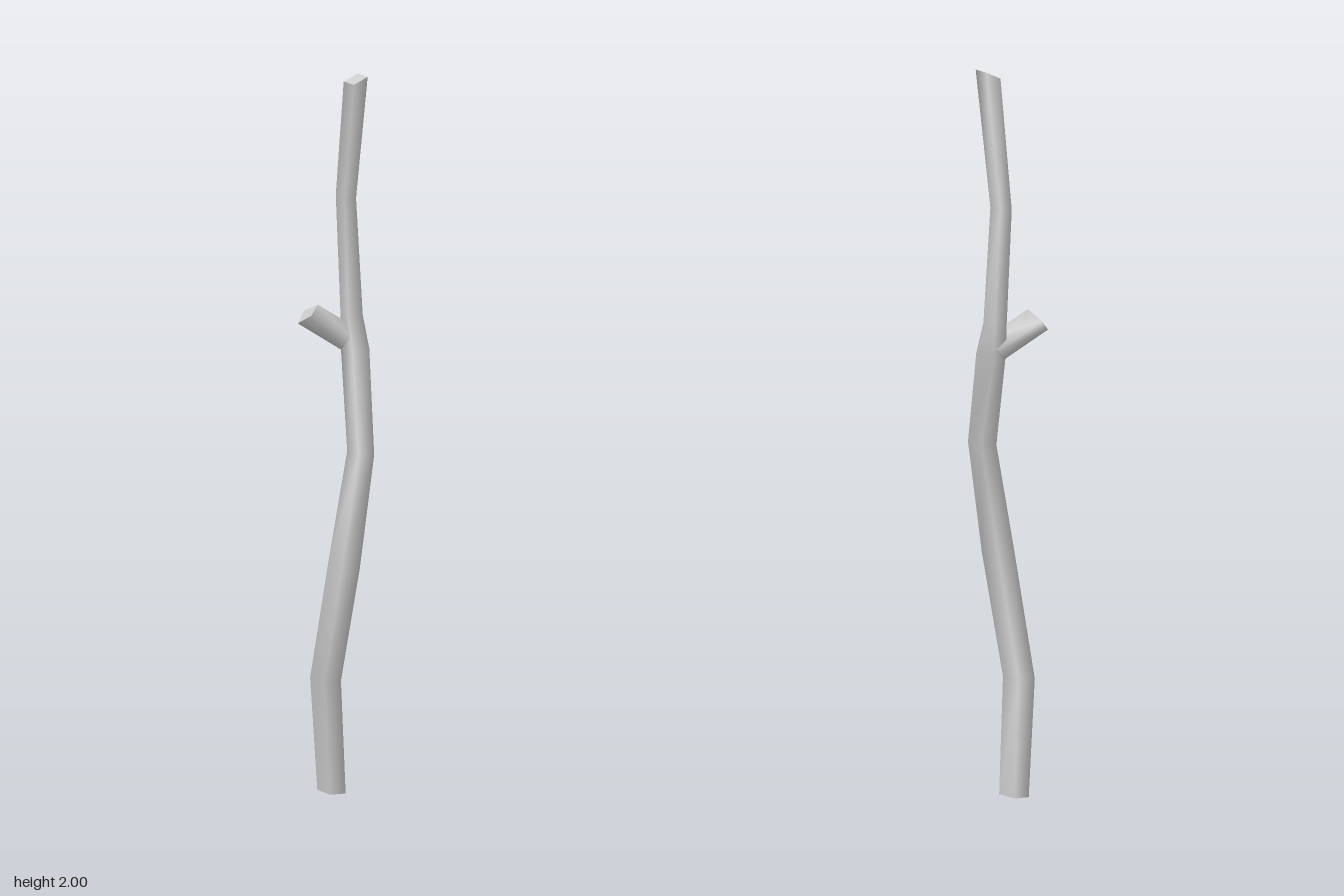
import * as THREE from 'three';

// Skin four-cornered rings (each counter-clockwise seen from the tip), smooth sides, flat end caps.
function loft(name, rings, material) {
  const n = 4, last = rings.length - 1;
  const positions = rings.flat(2);
  const index = [];
  for (let r = 0; r < last; r++) {
    for (let i = 0; i < n; i++) {
      const a = r * n + i, b = r * n + (i + 1) % n;
      index.push(a, b, b + n, a, b + n, a + n);
    }
  }
  // caps use their own corners so their edges stay sharp
  const start = rings.length * n, end = start + n;
  positions.push(...rings[0].flat(), ...rings[last].flat());
  index.push(start, start + 2, start + 1, start, start + 3, start + 2);
  index.push(end, end + 1, end + 2, end, end + 2, end + 3);

  const geometry = new THREE.BufferGeometry();
  geometry.setAttribute('position', new THREE.Float32BufferAttribute(positions, 3));
  geometry.setIndex(index);
  geometry.computeVertexNormals();
  const mesh = new THREE.Mesh(geometry, material);
  mesh.name = name;
  return mesh;
}

// A level ring at height y from [x, z] corners: left, front, right, back.
const level = (y, ...corners) => corners.map(([x, z]) => [x, y, z]);

export function createModel() {
  const group = new THREE.Group();
  group.name = 'stick';
  const wood = new THREE.MeshStandardMaterial({ color: 0xcccccc });

  // crooked main stem, slanted at the top
  const stem = [
    level(0, [-0.08, 0], [-0.02, 0.022], [0.005, -0.013], [-0.055, -0.033]),
    level(0.32, [-0.076, 0.038], [-0.015, 0.056], [0.01, 0.015], [-0.05, -0.004]),
    level(0.65, [0.005, 0.068], [0.067, 0.087], [0.095, 0.045], [0.033, 0.03]),
    level(0.96, [0.03, 0.014], [0.085, 0.037], [0.115, 0.007], [0.06, -0.014]),
    level(1.23, [-0.035, -0.045], [0.022, -0.02], [0.045, -0.066], [-0.018, -0.077]),
    level(1.32, [-0.047, -0.06], [0, -0.032], [0.02, -0.07], [-0.028, -0.089]),
    level(1.64, [-0.064, -0.062], [-0.02, -0.042], [0, -0.067], [-0.042, -0.084]),
    [[0.011, 1.98, 0.004], [0.055, 1.98, 0.018], [0.08, 2, -0.011], [0.036, 2, -0.027]],
  ];
  group.add(loft('stem', stem, wood));

  // short broken side twig, its base buried in the stem
  const tip = [[-0.12, 1.325, 0.004], [-0.12, 1.295, 0.034], [-0.07, 1.325, 0.041], [-0.07, 1.35, 0.011]];
  const base = tip.map(([x, y, z]) => [x + 0.09, y - 0.078, z - 0.08]);
  group.add(loft('twig', [base, tip], wood));

  return group;
}
